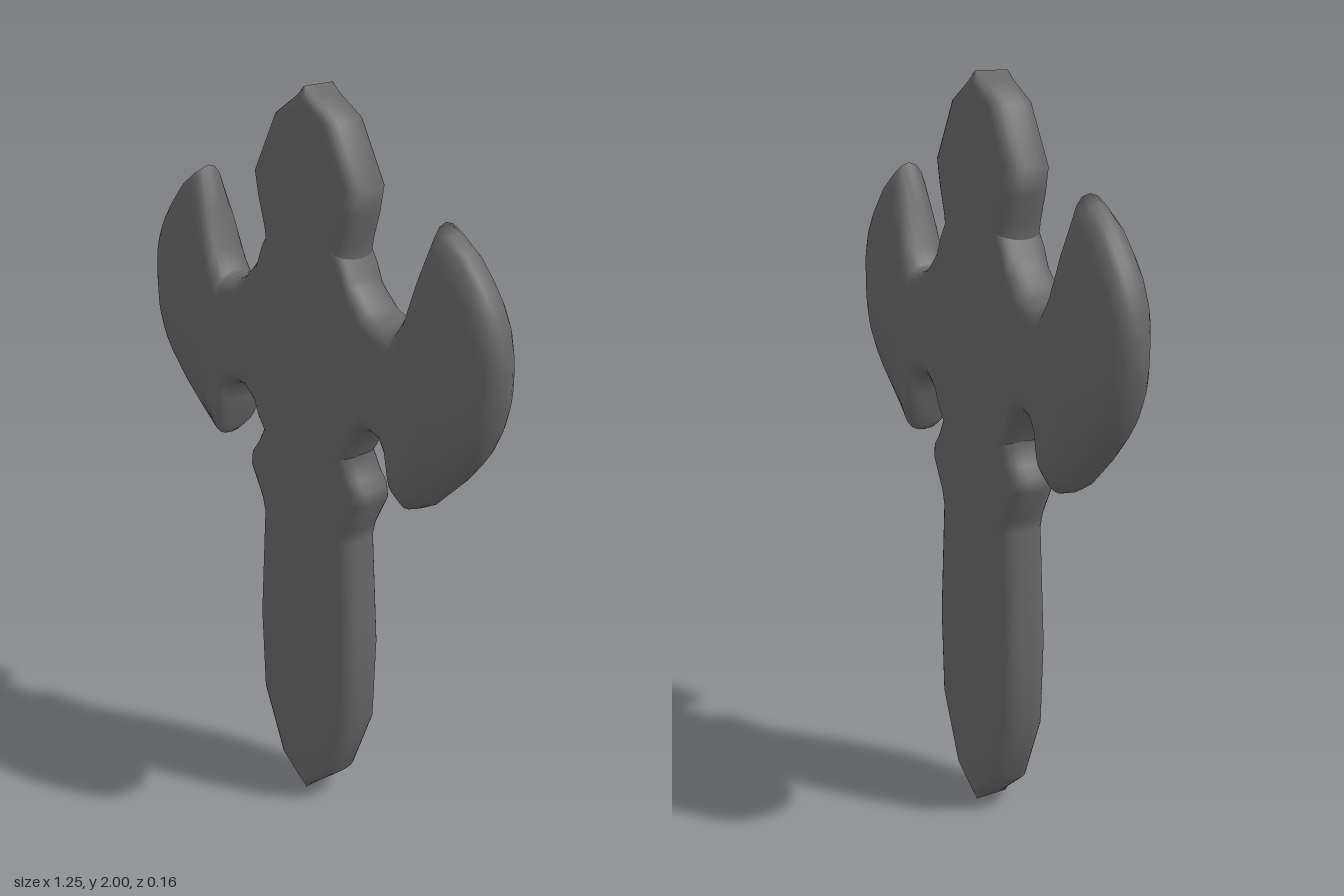
import * as THREE from 'three';

const STEPS = 6;

// Closed ring of [across, z]: flat front and back, rounded ends of width b, half thickness t
function section(a0, a1, b, t) {
  b = Math.min(b, (a1 - a0) / 2);
  const front = [];
  for (let i = 0; i <= STEPS; i++) {
    const f = (i / STEPS) * Math.PI / 2;
    front.push([a0 + b * (1 - Math.pow(Math.cos(f), 0.8)), t * Math.pow(Math.sin(f), 0.8)]);
  }
  for (let i = STEPS; i >= 0; i--) front.push([a0 + a1 - front[i][0], front[i][1]]);
  const back = front.slice(1, -1).reverse().map(([a, z]) => [a, -z]);
  return front.concat(back);
}

// Skin a row of rings; place(station, across, z) gives the 3D position
function loft(rings, place, flip) {
  const n = rings[0].points.length, pos = [], idx = [];
  for (const r of rings) for (const [a, z] of r.points) pos.push(...place(r.at, a, z));
  for (let j = 0; j < rings.length - 1; j++) {
    for (let i = 0; i < n; i++) {
      const k = (i + 1) % n;
      const a = j * n + i, b = j * n + k, c = b + n, d = a + n;
      if (flip) idx.push(a, c, b, a, d, c);
      else idx.push(a, b, c, a, c, d);
    }
  }
  const g = new THREE.BufferGeometry();
  g.setAttribute('position', new THREE.Float32BufferAttribute(pos, 3));
  g.setIndex(idx);
  g.computeVertexNormals();
  return g;
}

// Handle and spike: [y, half width, half thickness]
const BODY = [
  [0, 0, 0.048], [0.03, 0.035, 0.06], [0.09, 0.105, 0.065], [0.28, 0.177, 0.066],
  [0.52, 0.187, 0.066], [0.84, 0.167, 0.066], [0.88, 0.177, 0.066], [0.965, 0.219, 0.066],
  [1.0, 0.215, 0.066], [1.03, 0.192, 0.066], [1.08, 0.166, 0.066], [1.2, 0.165, 0.066],
  [1.5, 0.15, 0.066], [1.6, 0.148, 0.066], [1.64, 0.155, 0.066], [1.71, 0.175, 0.066],
  [1.775, 0.187, 0.066], [1.925, 0.11, 0.065], [1.975, 0.036, 0.06], [2.0, 0, 0.048],
];

// Axe blade: [x, bottom y, top y, rounding, half thickness]; the first rows blend into the handle
const BLADE = [
  [0.05, 0.96, 1.74, 0.05, 0.0655], [0.1, 1.0, 1.68, 0.05, 0.0662],
  [0.143, 1.055, 1.61, 0.05, 0.0668],
  [0.165, 1.085, 1.56, 0.06, 0.0675], [0.18, 1.13, 1.54, 0.06, 0.069],
  [0.22, 1.172, 1.495, 0.06, 0.073], [0.25, 1.18, 1.476, 0.05, 0.076],
  [0.286, 1.165, 1.465, 0.05, 0.078], [0.308, 1.11, 1.468, 0.08, 0.077],
  [0.32, 1.025, 1.475, 0.1, 0.076], [0.35, 0.998, 1.53, 0.11, 0.073],
  [0.38, 1.008, 1.635, 0.17, 0.07], [0.42, 1.03, 1.74, 0.25, 0.067],
  [0.455, 1.065, 1.72, 0.22, 0.066], [0.5, 1.11, 1.685, 0.19, 0.065],
  [0.54, 1.16, 1.635, 0.16, 0.063], [0.568, 1.2, 1.595, 0.14, 0.059],
  [0.592, 1.25, 1.55, 0.12, 0.051], [0.61, 1.3, 1.5, 0.1, 0.038],
  [0.62, 1.345, 1.45, 0.05, 0.02], [0.623, 1.37, 1.43, 0.03, 0],
];

export function createModel() {
  const group = new THREE.Group();
  const material = new THREE.MeshStandardMaterial({ color: 0x666666 });
  const add = (name, geometry) => {
    const mesh = new THREE.Mesh(geometry, material);
    mesh.name = name;
    group.add(mesh);
  };

  // Handle with collar and top spike, lofted upward
  const bodyRings = BODY.map(([y, w, t]) => ({ at: y, points: section(-w, w, 0.045, t) }));
  add('handleAndSpike', loft(bodyRings, (y, x, z) => [x, y, z], false));

  // Mirrored blades, lofted outward from inside the handle
  const bladeRings = BLADE.map(([x, y0, y1, b, t]) => ({ at: x, points: section(y0, y1, b, t) }));
  for (const [name, s] of [['leftBlade', 1], ['rightBlade', -1]]) {
    add(name, loft(bladeRings, (x, y, z) => [s * x, y, z], s > 0));
  }
  return group;
}
